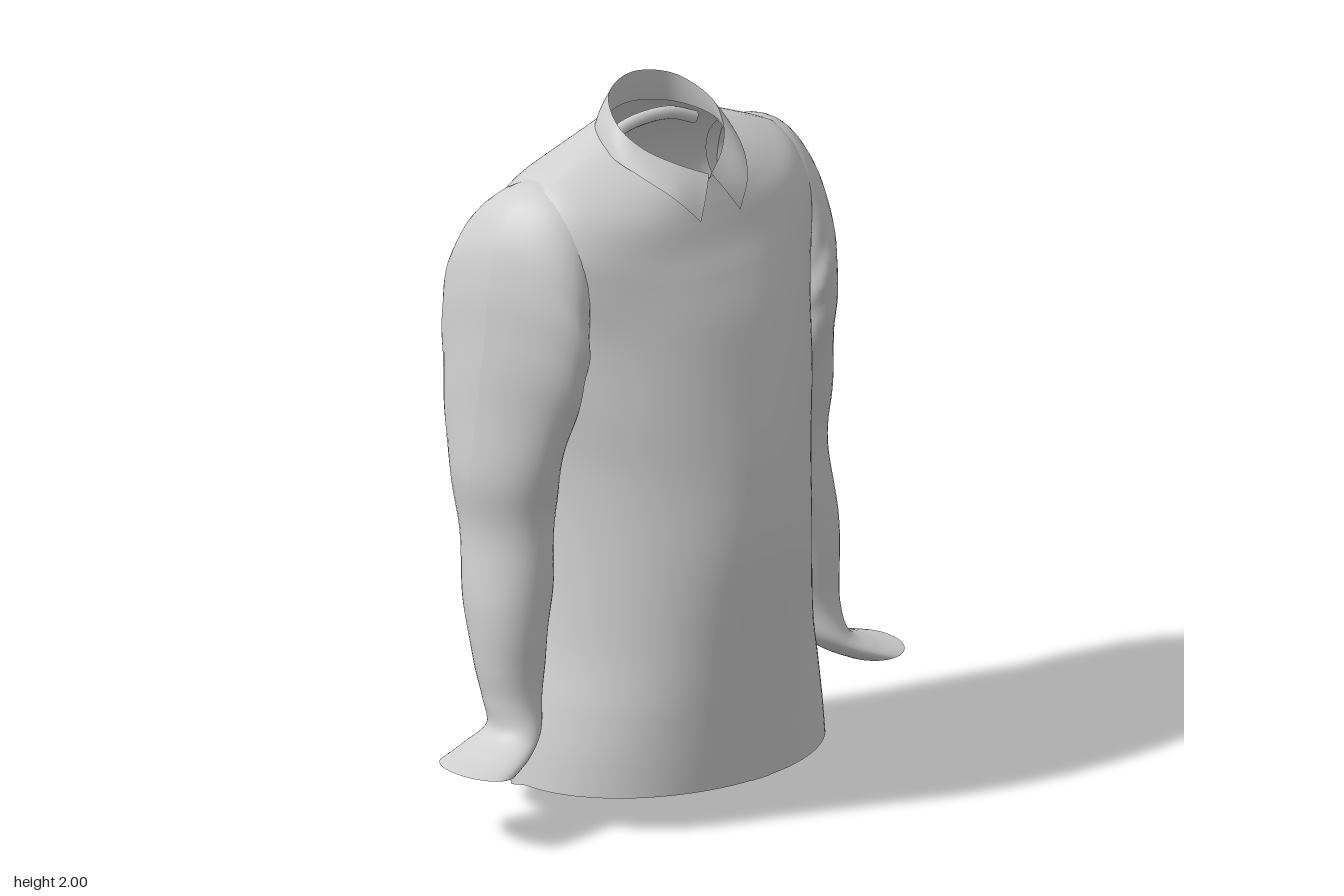
import * as THREE from 'three';
import { ParametricGeometry } from 'three/addons/geometries/ParametricGeometry.js';

const fabric = new THREE.MeshStandardMaterial({ color: 0xd0d0d0, side: THREE.DoubleSide });
fabric.name = 'light grey fabric';

// Smoothly interpolates a list of number rows at v in 0..1
function sampleRows(rows, v) {
  const f = Math.min(Math.max(v, 0), 1) * (rows.length - 1);
  const i = Math.min(Math.floor(f), rows.length - 2), t = f - i;
  const a = rows[Math.max(i - 1, 0)], b = rows[i], c = rows[i + 1], d = rows[Math.min(i + 2, rows.length - 1)];
  return b.map((p, k) => {
    const m0 = (c[k] - a[k]) / 2, m1 = (d[k] - p) / 2, q = c[k];
    return p + m0 * t + (3 * (q - p) - 2 * m0 - m1) * t * t + (2 * (p - q) + m0 + m1) * t * t * t;
  });
}

function sheet(name, fn, nu, nv) {
  const mesh = new THREE.Mesh(new ParametricGeometry(fn, nu, nv), fabric);
  mesh.name = name;
  return mesh;
}

// Body rings: half width, front z, back z, y at front, side and back, then squareness of front and back
const bodyRings = [
  [0.475, 0.36, -0.28, 0.105, 0.085, 0.0, 2, 2.3],
  [0.46, 0.365, -0.32, 0.2, 0.19, 0.14, 2, 2.4],
  [0.435, 0.372, -0.345, 0.32, 0.32, 0.3, 2, 2.5],
  [0.40, 0.385, -0.36, 0.5, 0.5, 0.5, 2, 2.6],
  [0.38, 0.405, -0.365, 0.78, 0.78, 0.78, 2, 2.8],
  [0.385, 0.39, -0.38, 1.0, 1.0, 1.0, 2, 3],
  [0.41, 0.352, -0.39, 1.2, 1.2, 1.2, 2.1, 3.4],
  [0.43, 0.30, -0.385, 1.4, 1.4, 1.4, 2.2, 3.8],
  [0.455, 0.25, -0.375, 1.53, 1.56, 1.54, 2.3, 3.8],
  [0.465, 0.215, -0.352, 1.61, 1.68, 1.65, 2.3, 3.5],
  [0.42, 0.19, -0.31, 1.68, 1.775, 1.745, 2.3, 3],
  [0.32, 0.172, -0.26, 1.73, 1.825, 1.82, 2.2, 2.5],
  [0.18, 0.15, -0.185, 1.785, 1.868, 1.91, 2, 2]
];

function bodyPoint(angle, v, target, out = 0) {
  const [hw, zf, zb, yf, ys, yb, nf, nb] = sampleRows(bodyRings, v);
  const s = Math.sin(angle), c = Math.cos(angle), zc = -0.05;
  const back = c < 0, n = back ? nb : nf;
  const r = Math.pow(Math.pow(Math.abs(s), n) + Math.pow(Math.abs(c), n), -1 / n);
  const reach = Math.abs(c) * r;
  const y = ys + ((back ? yb : yf) - ys) * Math.pow(reach, 1.2);
  // Soft vertical folds down the back and creases at the waist
  const fade = Math.sin(Math.PI * Math.min(Math.max(v, 0), 1));
  const fold = back ? 0.006 * fade * c * c * Math.cos(angle * 10)
    : 0.004 * fade * s * s * Math.sin(v * 22 + Math.abs(s) * 6);
  target.set(hw * s * r, y, zc + ((back ? zb : zf) - zc) * reach + fold + out * c);
}

// Sleeve rings: outer x and y, inner x and y, front z, back z, inward lean of the front edge
const sleeveRings = [
  [0.33, 1.80, 0.33, 1.55, 0.06, -0.24, 0],
  [0.42, 1.788, 0.36, 1.46, 0.09, -0.28, 0.02],
  [0.49, 1.742, 0.38, 1.40, 0.115, -0.31, 0.04],
  [0.545, 1.65, 0.395, 1.35, 0.135, -0.33, 0.05],
  [0.572, 1.54, 0.405, 1.30, 0.15, -0.335, 0.055],
  [0.587, 1.40, 0.405, 1.24, 0.145, -0.33, 0.05],
  [0.602, 1.22, 0.40, 1.13, 0.105, -0.315, 0.04],
  [0.618, 1.0, 0.39, 0.98, 0.055, -0.285, 0.02],
  [0.605, 0.82, 0.385, 0.82, 0.035, -0.255, 0.01],
  [0.625, 0.62, 0.40, 0.64, 0.045, -0.215, 0],
  [0.62, 0.46, 0.43, 0.48, 0.04, -0.165, 0],
  [0.61, 0.36, 0.455, 0.36, 0.045, -0.13, 0],
  [0.615, 0.285, 0.49, 0.285, 0.075, -0.10, 0],
  [0.69, 0.243, 0.545, 0.235, 0.105, -0.115, 0],
  [0.78, 0.215, 0.61, 0.20, 0.125, -0.12, 0]
];

function sleevePoint(side, u, v, target) {
  const [ox, oy, ix, iy, zf, zb, lean] = sampleRows(sleeveRings, v);
  const a = u * Math.PI * 2, c = Math.cos(a), s = Math.sin(a);
  // Creases gather around the elbow
  const w = Math.min(Math.max(v, 0), 1);
  const amount = 0.028 * Math.pow(Math.sin(Math.PI * w), 2);
  const k = 1 + amount * Math.sin(w * 62 + 2.2 * s + 1.5 * c) * (0.6 - 0.4 * c);
  target.set(
    side * ((ox + ix) / 2 + (ox - ix) / 2 * c * k - lean * s * (s > 0 ? 1 : 0.4)),
    (oy + iy) / 2 + (oy - iy) / 2 * c,
    (zf + zb) / 2 + (zf - zb) / 2 * s * k
  );
}

// Mirrors a half outline (front opening to centre back) into the whole collar line
const wholeLine = half => [...half, ...half.slice(0, -1).reverse().map(([x, y, z]) => [-x, y, z])];

const collarTop = wholeLine([
  [0.004, 1.80, 0.16], [0.08, 1.835, 0.115], [0.142, 1.875, 0.05],
  [0.165, 1.925, -0.03], [0.115, 1.978, -0.125], [0, 2.0, -0.163]
]);
const collarHem = wholeLine([
  [0.07, 1.69, 0.203], [0.13, 1.76, 0.165], [0.182, 1.815, 0.08],
  [0.202, 1.852, -0.02], [0.14, 1.885, -0.155], [0, 1.895, -0.202]
]);
const collarBase = wholeLine([
  [0.004, 1.78, 0.152], [0.09, 1.80, 0.115], [0.15, 1.83, 0.06],
  [0.178, 1.865, -0.03], [0.125, 1.89, -0.14], [0, 1.905, -0.183]
]);

const ruled = (rowsA, rowsB, bulge) => (u, v, target) => {
  const a = sampleRows(rowsA, u), b = sampleRows(rowsB, u);
  const [x, y, z] = a.map((n, i) => n + (b[i] - n) * v);
  const k = 1 + bulge * Math.sin(Math.PI * v);
  target.set(x * k, y, z * k);
};

export function createModel() {
  const shirt = new THREE.Group();
  shirt.name = 'shirt';

  shirt.add(sheet('body', (u, v, t) => bodyPoint(u * Math.PI * 2 - 0.05, v, t), 112, 80));
  // Overlapping button strip down the front
  shirt.add(sheet('frontPlacket', (u, v, t) => bodyPoint(-0.05 + u * 0.13, v * 0.985, t, 0.002), 4, 80));

  for (const side of [1, -1]) {
    const name = side > 0 ? 'leftSleeve' : 'rightSleeve';
    shirt.add(sheet(name, (u, v, t) => sleevePoint(side, u, v, t), 40, 120));
  }

  // Folded collar and the stand inside it
  shirt.add(sheet('collarLeaf', ruled(collarTop, collarHem, 0.02), 80, 6));
  shirt.add(sheet('collarStand', ruled(collarTop, collarBase, -0.01), 80, 6));

  // Narrow band across the inside of the neck
  const bandPath = new THREE.CatmullRomCurve3(
    [[-0.16, 1.85, -0.09], [-0.09, 1.878, -0.1], [0, 1.887, -0.102], [0.09, 1.878, -0.1], [0.16, 1.85, -0.09]]
      .map(p => new THREE.Vector3(...p)));
  const band = new THREE.Mesh(new THREE.TubeGeometry(bandPath, 24, 0.018, 10), fabric);
  band.name = 'innerNeckBand';
  shirt.add(band);

  return shirt;
}
